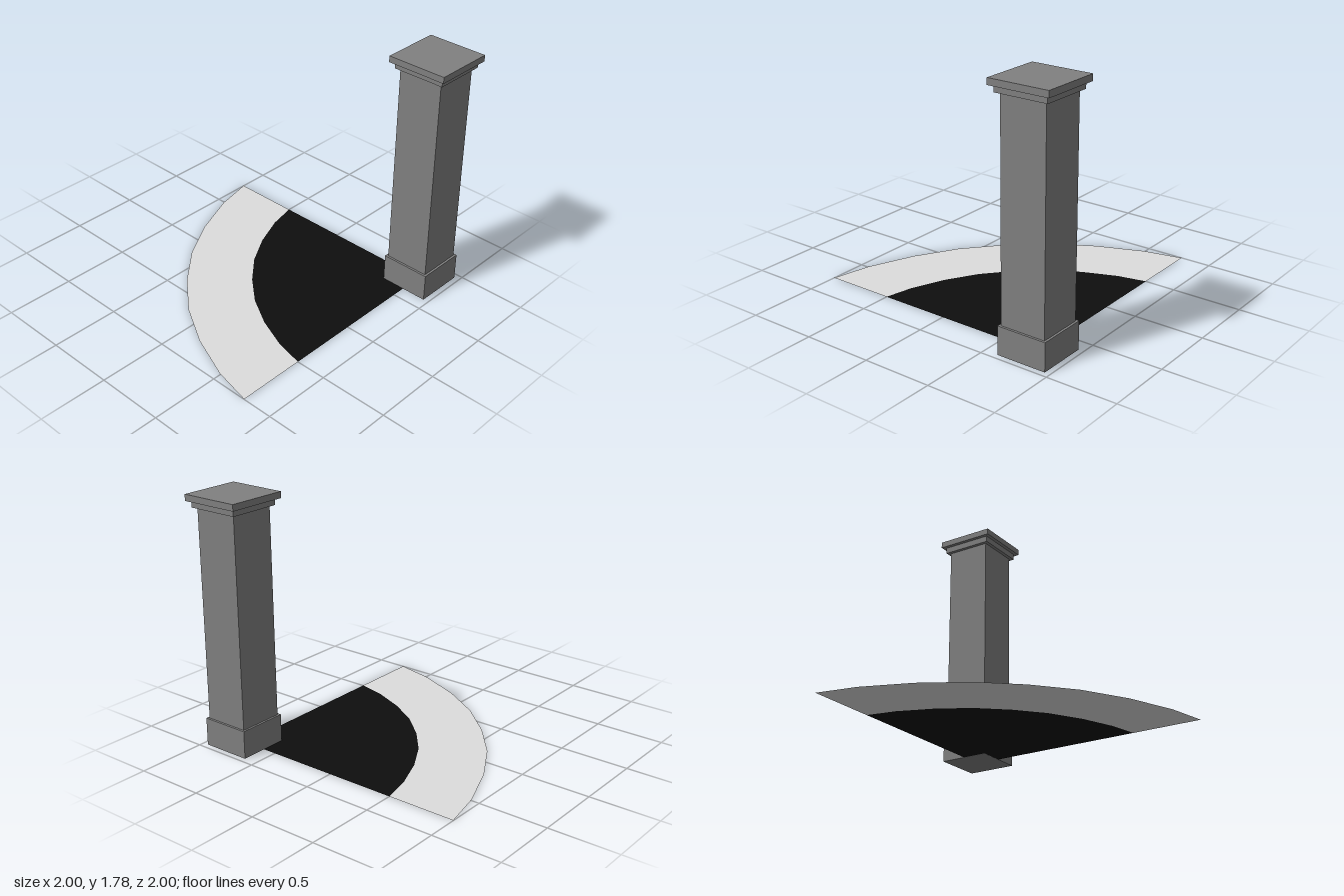
import * as THREE from 'three';

const CORNER = 0.78;

// Half of the quarter-round outline; the other half is its mirror image.
const HALF_ARC = [[0, 1.777], [0.286, 1.714], [0.62, 1.579], [0.92, 1.402], [1.178, 1.178]];
const ARC = [...HALF_ARC, ...HALF_ARC.slice(0, -1).reverse().map(([x, z]) => [z, x])];

// Outline points scaled from the corner, reaching towards the back and right.
const arcPoints = (scale) => ARC.map(([x, z]) => new THREE.Vector2(-x * scale, z * scale));

function flatPlate(name, points, material) {
  const geometry = new THREE.ShapeGeometry(new THREE.Shape(points));
  geometry.rotateX(-Math.PI / 2);
  const mesh = new THREE.Mesh(geometry, material);
  mesh.name = name;
  mesh.position.set(0.777, 0.001, 0.777);
  return mesh;
}

export function createModel() {
  const stone = new THREE.MeshStandardMaterial({ color: 0x808080 });
  stone.name = 'grey stone';
  const pale = new THREE.MeshStandardMaterial({ color: 0xdddddd, side: THREE.DoubleSide });
  pale.name = 'pale grey';
  const black = new THREE.MeshStandardMaterial({ color: 0x0e0e0e, side: THREE.DoubleSide });
  black.name = 'black';

  const model = new THREE.Group();
  model.name = 'cornerColumn';

  // Square column, stacked from the ground: name, width, bottom, top
  const column = new THREE.Group();
  column.name = 'column';
  column.position.set(CORNER, 0, CORNER);
  const blocks = [
    ['base', 0.36, 0, 0.2],
    ['shaft', 0.328, 0.2, 1.69],
    ['lowerCap', 0.38, 1.69, 1.735],
    ['upperCap', 0.436, 1.735, 1.78],
  ];
  for (const [name, width, bottom, top] of blocks) {
    const block = new THREE.Mesh(new THREE.BoxGeometry(width, top - bottom, width), stone);
    block.name = name;
    block.position.y = (bottom + top) / 2;
    column.add(block);
  }
  model.add(column);

  // Quarter-round floor: dark inner sector and pale outer band
  const inner = arcPoints(0.7186);
  model.add(flatPlate('innerFloor', [new THREE.Vector2(0, 0), ...inner], black));
  model.add(flatPlate('outerBand', [...arcPoints(1), ...inner.slice().reverse()], pale));

  return model;
}
